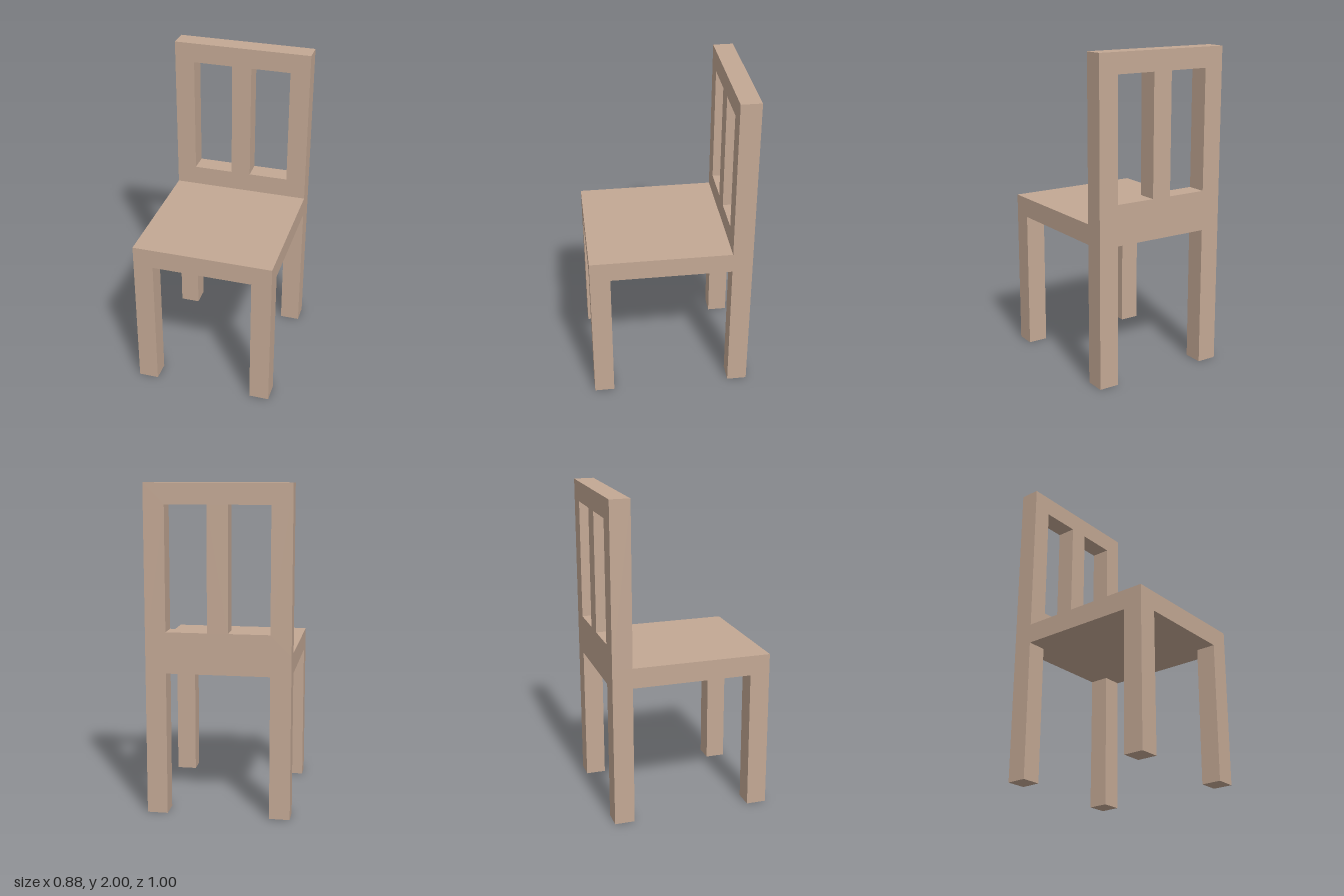
import * as THREE from 'three';

const T = 0.125; // thickness of every timber
const W = 0.875; // chair width
const D = 1; // chair depth

export function createModel() {
  const chair = new THREE.Group();
  chair.name = 'chair';
  const wood = new THREE.MeshStandardMaterial({ color: 0xc3a894 });
  wood.name = 'paleWood';

  const add = (name, geometry, x, y, z) => {
    const mesh = new THREE.Mesh(geometry, wood);
    mesh.name = name;
    mesh.position.set(x, y, z);
    chair.add(mesh);
  };

  const rectangle = (target, x0, y0, x1, y1) =>
    target.moveTo(x0, y0).lineTo(x1, y0).lineTo(x1, y1).lineTo(x0, y1).closePath();

  // Seat slab
  add('seat', new THREE.BoxGeometry(W, T, D), 0, 1 - T / 2, 0);

  // Four square legs, flush with the seat corners
  const legHeight = 1 - T;
  const leg = new THREE.BoxGeometry(T, legHeight, T);
  for (const [side, sx] of [['Left', 1], ['Right', -1]]) {
    for (const [end, sz] of [['front', 1], ['back', -1]]) {
      add(`${end}${side}Leg`, leg, sx * (W - T) / 2, legHeight / 2, sz * (D - T) / 2);
    }
  }

  // Backrest panel with two tall openings either side of a centre slat
  const panel = new THREE.Shape();
  rectangle(panel, -W / 2, 0, W / 2, 1);
  for (const x of [-0.3125, 0.0625]) {
    const opening = new THREE.Path();
    rectangle(opening, x, T, x + 0.25, 1 - T);
    panel.holes.push(opening);
  }
  add('backrest', new THREE.ExtrudeGeometry(panel, { depth: T, bevelEnabled: false }), 0, 1, -D / 2);

  return chair;
}
